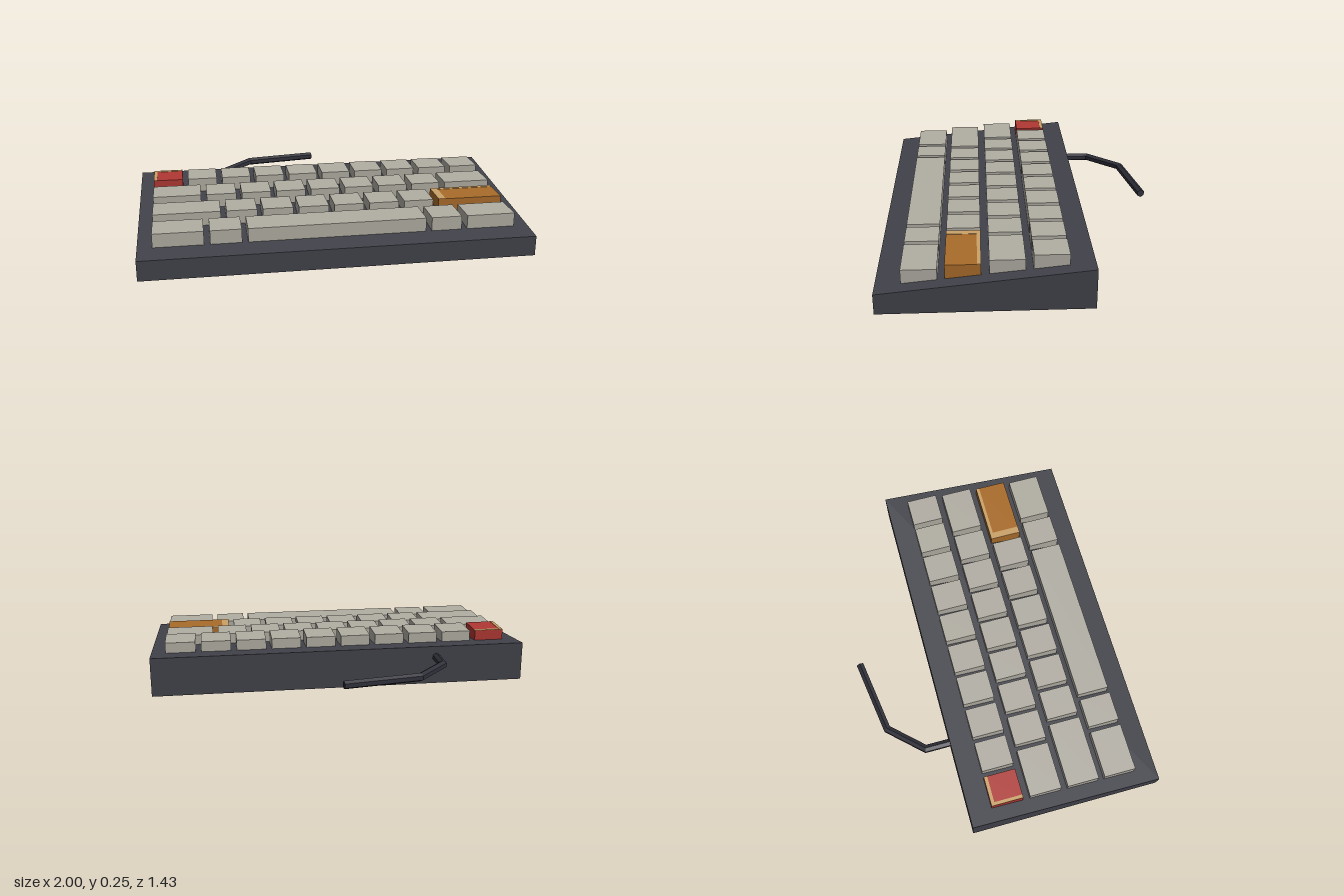
import * as THREE from 'three';

const paint = (name, color) => {
  const m = new THREE.MeshStandardMaterial({ color });
  m.name = name;
  return m;
};

export function createModel() {
  const group = new THREE.Group();
  const charcoal = paint('charcoal', 0x42424b);
  const black = paint('cable black', 0x30303a);
  const grey = paint('warm grey', 0xb2aea4);
  const red = paint('red', 0xb03833);
  const orange = paint('orange', 0xaa6c2a);
  const tan = paint('tan', 0xcca268);

  const add = (name, geometry, material, x = 0, y = 0, z = 0, parent = group) => {
    const mesh = new THREE.Mesh(geometry, material);
    mesh.name = name;
    mesh.position.set(x, y, z);
    parent.add(mesh);
    return mesh;
  };

  // Wedge case: side profile (drawn with -z to the right) extruded along x
  const side = new THREE.Shape([
    new THREE.Vector2(-0.716, 0), new THREE.Vector2(0.326, 0),
    new THREE.Vector2(0.326, 0.208), new THREE.Vector2(-0.716, 0.105),
  ]);
  const wedge = new THREE.ExtrudeGeometry(side, { depth: 2, bevelEnabled: false });
  wedge.translate(0, 0, -1).rotateY(Math.PI / 2);
  add('case', wedge, charcoal);

  // Keys: four stepped rows, widths given in key units
  const unit = 0.188, gap = 0.03, depth = 0.171, height = 0.075;
  const rows = [
    { z: -0.119, top: 0.252, widths: Array(10).fill(1), accents: { 0: red } },
    { z: 0.09, top: 0.23, widths: [1.5, ...Array(7).fill(1), 1.5], accents: {} },
    { z: 0.299, top: 0.21, widths: [2, ...Array(6).fill(1), 2], accents: { 7: orange } },
    { z: 0.506, top: 0.189, widths: [1.5, 1, 5, 1, 1.5], accents: {} },
  ];
  rows.forEach(({ z, top, widths, accents }, r) => {
    const row = new THREE.Group();
    row.name = `keyRow${r + 1}`;
    group.add(row);
    let left = -5 * unit;
    widths.forEach((units, i) => {
      const w = units * unit - gap;
      const x = left + (units * unit) / 2;
      const accent = accents[i];
      add(accent ? 'accentKey' : 'key', new THREE.BoxGeometry(w, height, depth),
        accent || grey, x, top - height / 2, z, row);
      if (accent) {
        // Pale trim along the left and back edges of the key top
        const t = 0.002, sw = w * 0.11, sd = depth * 0.11;
        add('keyTrimSide', new THREE.BoxGeometry(sw, t, depth), tan,
          x - w / 2 + sw / 2, top + t / 2, z, row);
        add('keyTrimBack', new THREE.BoxGeometry(w - sw, t, sd), tan,
          x + sw / 2, top + t / 2, z - depth / 2 + sd / 2, row);
      }
      left += units * unit;
    });
  });

  // Cable: six-sided rings mitred at each bend of a level path
  const path = [[-0.517, -0.3], [-0.517, -0.46], [-0.354, -0.637], [0.046, -0.699]]
    .map(([x, z]) => new THREE.Vector2(x, z));
  const radius = 0.022, sides = 6, positions = [], indices = [];
  path.forEach((p, i) => {
    const before = p.clone().sub(path[Math.max(i - 1, 0)]).normalize();
    const after = path[Math.min(i + 1, path.length - 1)].clone().sub(p).normalize();
    const dir = before.clone().add(after).normalize();
    const mitre = before.lengthSq() && after.lengthSq() ? 1 / dir.dot(after) : 1;
    for (let k = 0; k < sides; k++) {
      const a = (k / sides) * Math.PI * 2 + Math.PI / 2;
      const across = Math.cos(a) * radius * mitre;
      positions.push(p.x - dir.y * across, 0.149 + Math.sin(a) * radius, p.y + dir.x * across);
      if (i) {
        const n = (k + 1) % sides, b = i * sides, c = b - sides;
        indices.push(c + k, b + k, c + n, b + k, b + n, c + n);
      }
    }
  });
  const last = (path.length - 1) * sides;
  for (let k = 1; k < sides - 1; k++) {
    indices.push(0, k, k + 1, last, last + k + 1, last + k);
  }
  let cable = new THREE.BufferGeometry();
  cable.setAttribute('position', new THREE.Float32BufferAttribute(positions, 3));
  cable.setIndex(indices);
  cable = cable.toNonIndexed();
  cable.computeVertexNormals();
  add('cable', cable, black);

  return group;
}
